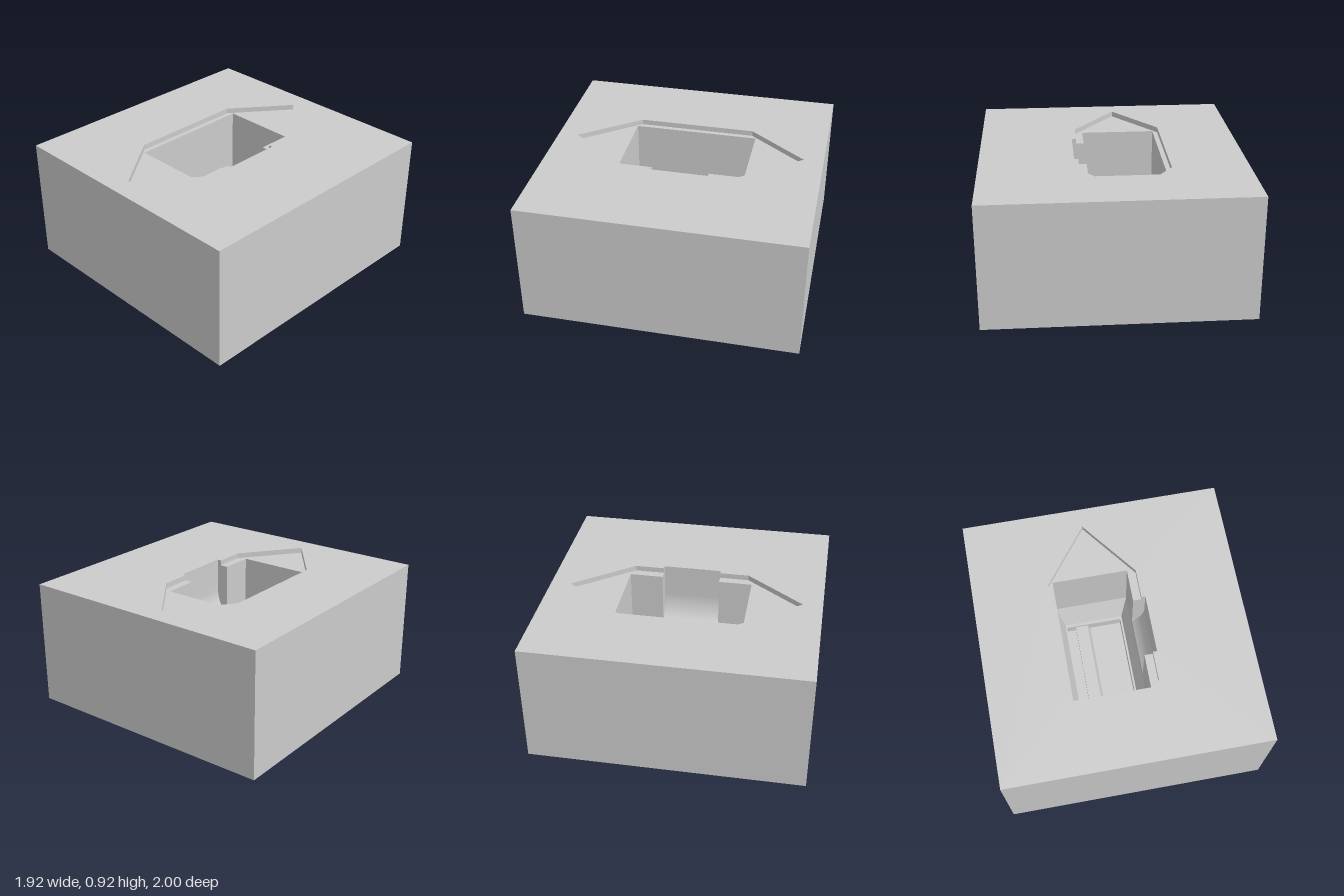
import * as THREE from 'three';
import { toCreasedNormals } from 'three/addons/utils/BufferGeometryUtils.js';

const material = new THREE.MeshStandardMaterial({ color: 0xcccccc, side: THREE.DoubleSide });

// Heights of the levels, from the base up
const RECESS = 0.12, FLOOR = 0.2, TAPER = 0.38, LEDGE = 0.88, TOP = 0.92;

// Plan outlines are [x, -z] points, counter-clockwise from above
const rect = (x0, x1, z) => [[x1, z], [x0, z], [x0, -z], [x1, -z]];
const toShape = pts => new THREE.Shape(pts.map(p => new THREE.Vector2(...p)));

// Horizontal face at height y, with an optional hole
function flat(outline, y, hole) {
  const shape = toShape(outline);
  if (hole) shape.holes.push(new THREE.Path(hole.map(p => new THREE.Vector2(...p))));
  return new THREE.ShapeGeometry(shape).rotateX(-Math.PI / 2).translate(0, y, 0);
}

// Wall between two outlines; faces outward when y0 < y1, inward when y0 > y1
function wall(loop0, y0, loop1, y1, closed = true) {
  const pos = [], n = loop0.length;
  for (let i = 0; i < (closed ? n : n - 1); i++) {
    const j = (i + 1) % n;
    const a0 = [loop0[i][0], y0, -loop0[i][1]], b0 = [loop0[j][0], y0, -loop0[j][1]];
    const a1 = [loop1[i][0], y1, -loop1[i][1]], b1 = [loop1[j][0], y1, -loop1[j][1]];
    pos.push(...a0, ...b0, ...b1, ...a0, ...b1, ...a1);
  }
  const g = new THREE.BufferGeometry();
  g.setAttribute('position', new THREE.Float32BufferAttribute(pos, 3));
  g.computeVertexNormals();
  return g;
}

export function createModel() {
  const group = new THREE.Group();
  const add = (name, geometry) => {
    const mesh = new THREE.Mesh(geometry, material);
    mesh.name = name;
    group.add(mesh);
    return mesh;
  };

  const block = rect(-0.96, 0.96, 1);
  const nz = 0.215, nx = 0.275; // notch half length and back
  // Open outlines that start and end at the notch
  const hexagon = [[0.245, nz], [0.245, 0.43], [-0.08, 0.855], [-0.405, 0.43],
    [-0.405, -0.43], [-0.08, -0.855], [0.245, -0.43], [0.245, -nz]];
  const pocketFull = rect(-0.37, 0.185, 0.46);
  const pocket = [[0.185, nz], ...pocketFull, [0.185, -nz]];
  const pocketFloor = rect(-0.32, 0.135, 0.383);
  const recess = rect(-0.31, 0.12, 0.36);

  // Outer block
  add('blockSides', wall(block, 0, block, TOP));
  add('blockBase', flat(block, 0).rotateX(Math.PI));
  add('blockTop', flat(block, TOP, [...hexagon, [nx, -nz], [nx, nz]]));

  // Shallow hexagonal recess
  add('hexagonWall', wall(hexagon, TOP, hexagon, LEDGE, false));
  add('hexagonLedge', flat([...hexagon, ...pocket.slice().reverse()], LEDGE));

  // Deep pocket, tapering near its floor
  add('pocketWall', wall(pocket, LEDGE, pocket, TAPER, false));
  add('pocketTaper', wall(pocketFull, TAPER, pocketFloor, FLOOR));
  add('pocketFloorRim', flat(pocketFloor, FLOOR, recess));
  add('floorRecessWall', wall(recess, FLOOR, recess, RECESS));
  add('floorRecess', flat(recess, RECESS));

  // Finger notch: upright back curving in to the pocket wall
  const profile = [[nx, TOP]], R = 0.275, sweep = Math.acos(1 - 0.09 / R);
  for (let i = 0; i <= 12; i++) {
    const t = sweep * i / 12;
    profile.push([nx - R * (1 - Math.cos(t)), 0.68 - R * Math.sin(t)]);
  }
  const end = profile[profile.length - 1];
  const sheet = new THREE.PlaneGeometry(1, 1, 1, profile.length - 1);
  const p = sheet.attributes.position;
  profile.forEach(([x, y], i) => {
    p.setXYZ(2 * i, x, y, -nz);
    p.setXYZ(2 * i + 1, x, y, nz);
  });
  add('notchBack', toCreasedNormals(sheet, 0.6));
  const side = toShape([...profile, [0.185, LEDGE], [0.245, LEDGE], [0.245, TOP]]);
  add('notchSideBack', new THREE.ShapeGeometry(side)).position.z = -nz;
  add('notchSideFront', new THREE.ShapeGeometry(side)).position.z = nz;
  const strip = [[0.185, -nz], [0.185, nz]];
  add('wallBelowNotch', wall(strip, end[1], strip, TAPER, false));

  // Ridge along the pocket floor, sloped on one side
  const ridge = toShape([[-0.24, RECESS], [-0.125, RECESS], [-0.145, 0.18], [-0.24, 0.18]]);
  add('floorRidge', new THREE.ExtrudeGeometry(ridge, { depth: 0.72, bevelEnabled: false }))
    .position.z = -0.36;

  return group;
}
